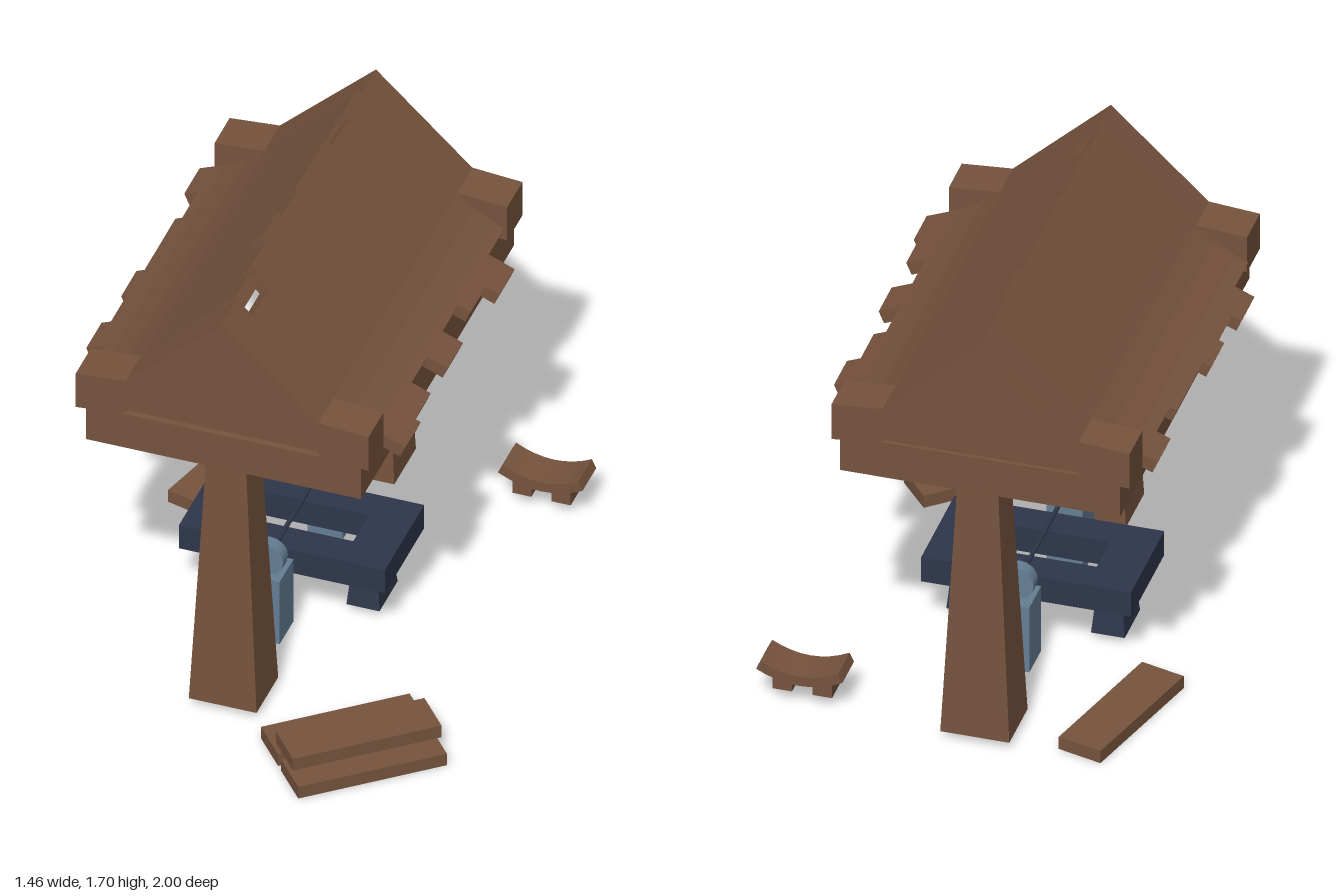
import * as THREE from 'three';

const AXIS = -0.12; // x of the roof ridge
const flat = (name, color) => {
  const m = new THREE.MeshStandardMaterial({ color });
  m.name = name;
  return m;
};

export function createModel() {
  const wood = flat('wood', 0x76533d);
  const iron = flat('darkIron', 0x2e364b);
  const steel = flat('blueSteel', 0x657e94);
  const root = new THREE.Group();

  const add = (name, geo, mat, x = 0, y = 0, z = 0, turn = 0) => {
    const mesh = new THREE.Mesh(geo, mat);
    mesh.name = name;
    mesh.position.set(x, y, z);
    mesh.rotation.y = turn;
    root.add(mesh);
    return mesh;
  };

  // Box standing on its base, narrowing towards the top
  const taper = (w, h, d, topW = w, topD = d) => {
    const g = new THREE.BoxGeometry(w, h, d).translate(0, h / 2, 0);
    const p = g.attributes.position;
    for (let i = 0; i < p.count; i++) {
      if (p.getY(i) > h / 2) {
        p.setX(i, p.getX(i) * topW / w);
        p.setZ(i, p.getZ(i) * topD / d);
      }
    }
    g.computeVertexNormals();
    return g;
  };

  // Horizontal rectangular ring standing on its base
  const rect = (Type, w, d) => new Type([[-w, -d], [w, -d], [w, d], [-w, d]]
    .map(([x, y]) => new THREE.Vector2(x / 2, y / 2)));
  const ring = (w, d, h, holeW, holeD) => {
    const s = rect(THREE.Shape, w, d);
    s.holes.push(rect(THREE.Path, holeW, holeD));
    return new THREE.ExtrudeGeometry(s, { depth: h, bevelEnabled: false }).rotateX(-Math.PI / 2);
  };

  const slab = (pts, depth) => new THREE.ExtrudeGeometry(
    new THREE.Shape(pts.map(([x, y]) => new THREE.Vector2(x, y))),
    { depth, bevelEnabled: false });

  // Closed outline of a board of thickness t hanging below a polyline
  const board = (top, t) => {
    const under = top.map((p, i) => {
      const a = top[Math.max(i - 1, 0)], b = top[Math.min(i + 1, top.length - 1)];
      const dx = b[0] - a[0], dy = b[1] - a[1], l = Math.hypot(dx, dy);
      return [p[0] + dy / l * t, p[1] - dx / l * t];
    });
    return [...top, ...under.reverse()];
  };

  // Posts and the beam frame on top of them
  for (const [name, z] of [['frontPost', 0.51], ['backPost', -0.89]]) {
    add(name, taper(0.25, 1.0, 0.22, 0.15, 0.15), wood, -0.105, 0.03, z);
  }
  add('beamFrame', ring(1.015, 1.555, 0.145, 0.715, 1.255), wood, -0.115, 1.03, -0.193);

  // Thick end rafters with a recessed gable panel
  const half = [[0.355, 1.32], [0.54, 1.305], [0.54, 1.16], [0.37, 1.175]];
  const rafter = [[0, 1.655], ...half, [0, 1.48],
    ...half.slice().reverse().map(([u, y]) => [-u, y])];
  const gable = [[-0.38, 1.165], [0.38, 1.165], [0, 1.49]];
  for (const [side, z, inset] of [['front', 0.43, 0.03], ['back', -0.98, 0.025]]) {
    add(side + 'Rafter', slab(rafter, 0.155), wood, AXIS, 0, z);
    add(side + 'Gable', slab(gable, 0.1), wood, AXIS, 0, z + inset);
  }

  // Curved roof planks from back to front: right eave, left eave, ridge starts
  const planks = [
    [0.53, 0.595, -0.01, 0.03], [0.625, 0.545, 0.01, 0.03],
    [0.575, 0.57, -0.015, 0.02], [0.53, 0.57, -0.015, 0.02],
    [0.605, 0.6, -0.01, 0.03], [0.53, 0.58, -0.025, 0.01],
    [0.6, 0.615, -0.01, 0.03], [0.62, 0.545, 0.06, 0.01],
  ];
  const pitch = (0.43 + 0.825) / planks.length;
  planks.forEach(([right, left, r0, l0], i) => {
    for (const [s, end, start] of [[1, right, r0], [-1, left, l0]]) {
      const top = [[start, 1.67 - start], [0.3, 1.37], [0.355, 1.318], [0.42, 1.268],
        [0.5, 1.222], [end, 1.222 - 0.42 * (end - 0.5)]];
      const outline = board(top, 0.05).map(([u, y]) => [u * s, y]);
      add(s > 0 ? 'leftRoofPlank' : 'rightRoofPlank', slab(outline, pitch - 0.002),
        wood, AXIS, 0, -0.825 + i * pitch);
    }
  });

  // Slotted iron bench on two splayed legs
  add('benchTop', ring(0.76, 0.4, 0.1, 0.44, 0.16), iron, -0.1, 0.2, -0.168);
  for (const x of [-0.364, 0.16]) {
    add('benchLeg', taper(0.122, 0.17, 0.185, 0.092, 0.14), iron, x, 0.03, -0.168);
  }

  // Pedestals carrying the wheels
  for (const z of [0.15, -0.49]) {
    add('pedestal', taper(0.13, 0.27, 0.14), steel, -0.105, 0.03, z);
    add('wheel', new THREE.CylinderGeometry(0.065, 0.065, 0.05, 16).rotateX(Math.PI / 2),
      steel, -0.105, 0.354, z + 0.008);
  }

  // Axle bent into a crank at the back
  const v = (y, z) => new THREE.Vector3(-0.105, y, z);
  const path = new THREE.CurvePath();
  path.add(new THREE.LineCurve3(v(0.35, 0.205), v(0.35, -0.565)));
  path.add(new THREE.QuadraticBezierCurve3(v(0.35, -0.565), v(0.35, -0.59), v(0.33, -0.59)));
  path.add(new THREE.LineCurve3(v(0.33, -0.59), v(0.308, -0.59)));
  path.add(new THREE.QuadraticBezierCurve3(v(0.308, -0.59), v(0.288, -0.59), v(0.288, -0.61)));
  path.add(new THREE.LineCurve3(v(0.288, -0.61), v(0.288, -0.66)));
  add('crankAxle', new THREE.TubeGeometry(path, 120, 0.009, 8), iron);
  for (const [y, z, ry] of [[0.35, 0.205, 0], [0.288, -0.66, Math.PI]]) {
    add('axleCap', new THREE.CircleGeometry(0.009, 8), iron, -0.105, y, z, ry);
  }

  // Loose boards on the ground
  const loose = taper(0.55, 0.05, 0.17);
  const turn = 0.705, off = 0.1;
  for (const s of [-1, 1]) {
    add('stackedBoard', loose, wood,
      0.4 + s * off * Math.sin(turn), 0, 0.677 + s * off * Math.cos(turn), turn);
  }
  add('topBoard', loose, wood, 0.415, 0.05, 0.67, turn);
  add('strayBoard', loose, wood, -0.545, 0, -0.7, 1.31);

  // Small seat with a curved top
  const seat = [];
  for (let i = 0; i <= 8; i++) {
    const u = i / 4 - 1;
    seat.push([u * 0.14, 0.137 + 0.038 * u * u]);
  }
  add('stoolSeat', slab(board(seat, 0.038), 0.14), wood, 0.54, 0, -0.97);
  for (const x of [0.465, 0.61]) {
    add('stoolLeg', taper(0.07, 0.07, 0.09), wood, x, 0.05, -0.895);
  }
  return root;
}
